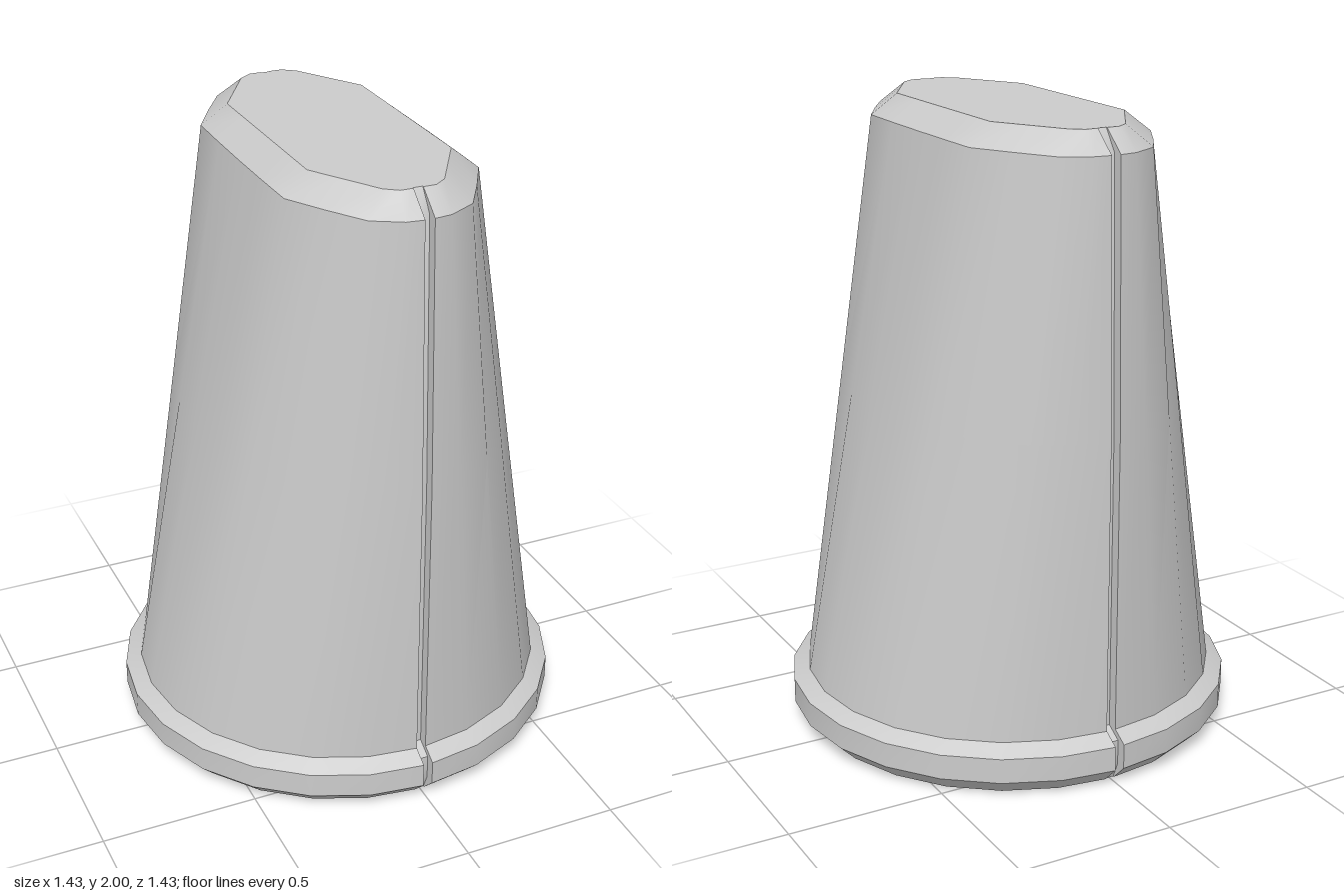
import * as THREE from 'three';
import { toCreasedNormals } from 'three/addons/utils/BufferGeometryUtils.js';

const SLOT = 0.015; // half width of the front and back groove

// Quarter outline from the side (+x) to the groove edge, as [x, z] pairs
const circle = (r) => {
  const q = [];
  for (let i = 0; i < 6; i++) {
    const a = (i * Math.PI) / 12;
    q.push([r * Math.cos(a), r * Math.sin(a)]);
  }
  q.push([SLOT, r]);
  return q;
};
const foot = circle(0.665);
const shoulder = [[0.31, 0], [0.309, 0.172], [0.306, 0.335], [0.235, 0.46], [0.16, 0.58], [0.07, 0.63], [SLOT, 0.637]];
const top = [[0.226, 0], [0.226, 0.16], [0.226, 0.312], [0.16, 0.422], [0.095, 0.53], [0.055, 0.56], [SLOT, 0.56]];
const blend = (a, b, tx, tz) =>
  a.map(([x, z], i) => [x + (b[i][0] - x) * tx, z + (b[i][1] - z) * tz]);

// Mirror a quarter outline into a full closed ring with both grooves
function ring(y, quarter, depth) {
  const q = [...quarter, [SLOT, quarter[6][1] - depth]];
  const back = q.slice(1).reverse();
  const half = (s) => [
    ...q.map(([x, z]) => [x * s, y, -z * s]),
    ...back.map(([x, z]) => [-x * s, y, -z * s]),
  ];
  return [...half(1), ...half(-1)];
}

// Skin a stack of rings and close both ends
function loft(rings) {
  const n = rings[0].length;
  const pos = rings.flat(2);
  const index = [];
  for (let r = 0; r < rings.length - 1; r++) {
    for (let i = 0; i < n; i++) {
      const a = r * n + i, b = r * n + ((i + 1) % n);
      index.push(a, b, b + n, a, b + n, a + n);
    }
  }
  const last = (rings.length - 1) * n;
  const c = rings.length * n;
  pos.push(0, rings[0][0][1], 0, 0, rings[rings.length - 1][0][1], 0);
  for (let i = 0; i < n; i++) {
    const j = (i + 1) % n;
    index.push(c, j, i, c + 1, last + i, last + j);
  }
  const g = new THREE.BufferGeometry();
  g.setAttribute('position', new THREE.Float32BufferAttribute(pos, 3));
  g.setIndex(index);
  return toCreasedNormals(g, 0.6);
}

export function createModel() {
  const group = new THREE.Group();
  group.name = 'taperedKnob';
  const depth = 0.035;

  // Bevelled round rim, tapering body and chamfered top in one skin
  const knob = new THREE.Mesh(
    loft([
      ring(0, circle(0.662), 0.004),
      ring(0.055, circle(0.717), depth),
      ring(0.135, circle(0.717), depth),
      ring(0.165, foot, depth),
      ring(1.1, blend(foot, shoulder, 0.528, 0.12), depth),
      ring(1.935, shoulder, depth),
      ring(2, top, 0.004),
    ]),
    new THREE.MeshStandardMaterial({ color: 0xcccccc })
  );
  knob.name = 'knobBody';
  group.add(knob);
  return group;
}
